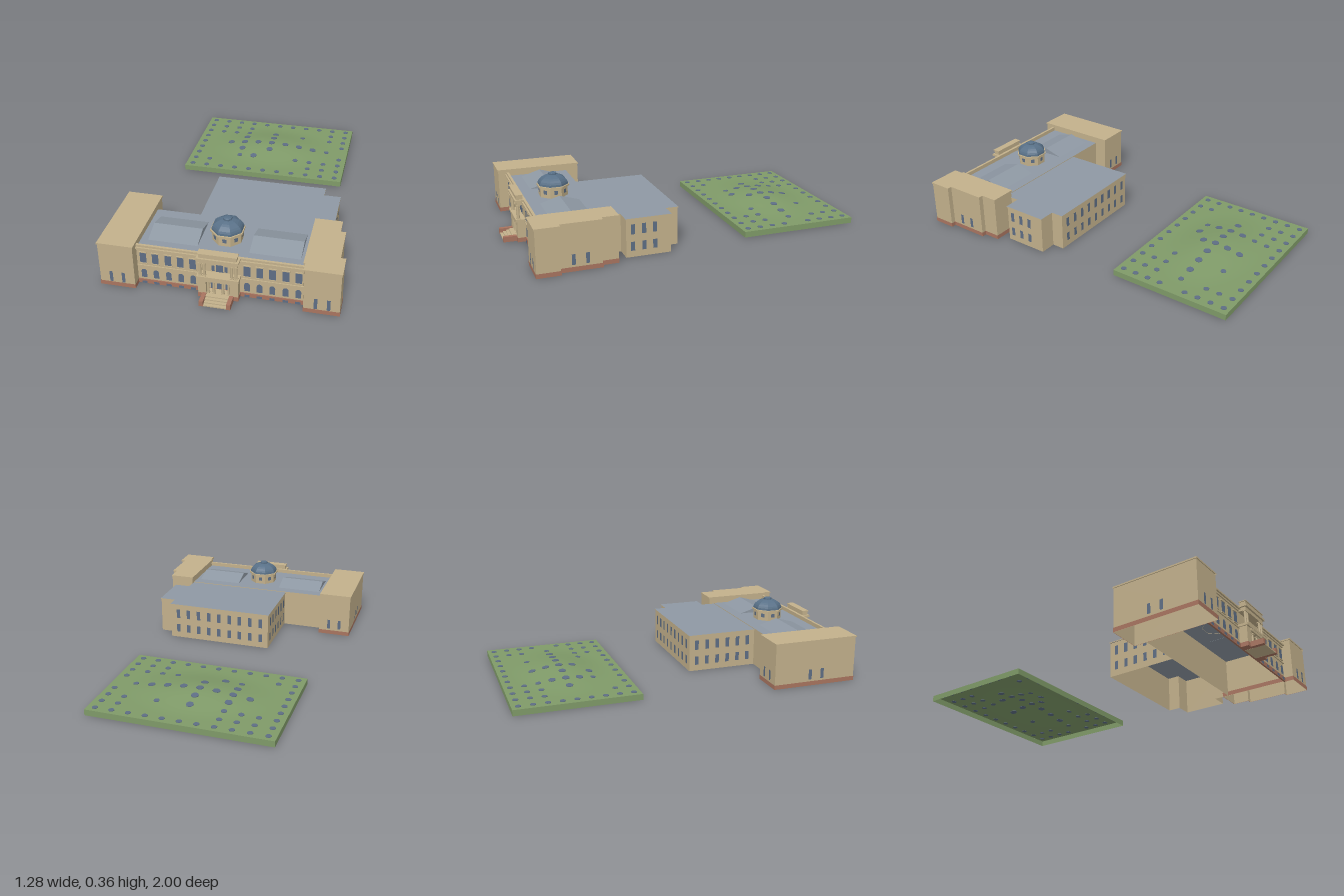
import * as THREE from 'three';

const mat = (name, color) => {
  const m = new THREE.MeshStandardMaterial({ color, side: THREE.DoubleSide });
  m.name = name;
  return m;
};

export function createModel() {
  const stone = mat('sandstone', 0xc2b08b), brick = mat('brick base', 0xa8745f);
  const roof = mat('slate roof', 0x8e98a3), glass = mat('window glass', 0x5d6d84);
  const copper = mat('dome metal', 0x587087), grass = mat('grass', 0x7f9a68);
  const model = new THREE.Group();

  const add = (name, geo, m, x = 0, y = 0, z = 0) => {
    const mesh = new THREE.Mesh(geo, m);
    mesh.name = name;
    mesh.position.set(x, y, z);
    model.add(mesh);
    return mesh;
  };
  // box given by its limits
  const box = (name, m, x0, x1, y0, y1, z0, z1) =>
    add(name, new THREE.BoxGeometry(x1 - x0, y1 - y0, z1 - z0), m, (x0 + x1) / 2, (y0 + y1) / 2, (z0 + z1) / 2);
  const flat = (geo) => {
    const g = geo.index ? geo.toNonIndexed() : geo;
    g.computeVertexNormals();
    return g;
  };

  // push a clockwise-from-above right-angled outline outward
  const grow = (pts, d) => pts.map((p, i) => {
    const a = pts[(i + pts.length - 1) % pts.length], b = pts[(i + 1) % pts.length];
    const n = (s, e) => [Math.sign(e[1] - s[1]), -Math.sign(e[0] - s[0])];
    const n1 = n(a, p), n2 = n(p, b);
    return [p[0] + d * (n1[0] + n2[0]), p[1] + d * (n1[1] + n2[1])];
  });
  // hollow walls along an outline of [x, z]
  const walls = (name, m, pts, y0, y1) => {
    const v = [];
    pts.forEach(([x, z], i) => {
      const [u, w] = pts[(i + 1) % pts.length];
      v.push(x, y0, z, x, y1, z, u, y1, w, x, y0, z, u, y1, w, u, y0, w);
    });
    const g = new THREE.BufferGeometry();
    g.setAttribute('position', new THREE.Float32BufferAttribute(v, 3));
    g.computeVertexNormals();
    add(name, g, m);
  };
  const deck = (name, m, pts, y) => {
    const s = new THREE.Shape(pts.map(([x, z]) => new THREE.Vector2(x, -z)));
    add(name, new THREE.ShapeGeometry(s).rotateX(-Math.PI / 2), m, 0, y, 0);
  };
  // thin window pane; turn is the heading of its outward side
  const pane = (x, y0, y1, z, w, turn = 0, arched = false) => {
    const r = w / 2, h = y1 - y0, s = new THREE.Shape();
    s.moveTo(-r, 0).lineTo(r, 0);
    if (arched) s.lineTo(r, h - r).absarc(0, h - r, r, 0, Math.PI, false);
    else s.lineTo(r, h).lineTo(-r, h);
    const d = 0.003;
    add('window', new THREE.ShapeGeometry(s, 6), glass, x + d * Math.sin(turn), y0, z + d * Math.cos(turn)).rotation.y = turn;
  };
  const BACK = Math.PI, PX = Math.PI / 2, NX = -Math.PI / 2;
  const rect = (x0, x1, z0, z1) => [[x0, z0], [x1, z0], [x1, z1], [x0, z1]];

  // end wings
  const wings = {
    rightWing: rect(-0.637, -0.447, 0.435, 0.932),
    leftWing: [[0.435, 0.477], [0.577, 0.477], [0.577, 0.572], [0.605, 0.572], [0.605, 0.8],
      [0.632, 0.8], [0.632, 0.927], [0.445, 0.927], [0.445, 0.87], [0.435, 0.87]],
  };
  for (const [name, pts] of Object.entries(wings)) {
    walls(name, stone, pts, 0, 0.257);
    walls(name + 'Base', brick, grow(pts, 0.002), 0, 0.025);
    walls(name + 'Cornice', stone, grow(pts, 0.004), 0.257, 0.266);
    deck(name + 'Roof', stone, grow(pts, 0.004), 0.266);
  }
  for (const x of [0.508, 0.575]) {
    pane(x, 0.028, 0.093, 0.927, 0.018);
    pane(-x, 0.028, 0.093, 0.932, 0.018);
    pane(-x, 0.037, 0.096, 0.435, 0.018, BACK);
  }
  for (const z of [0.727, 0.652]) {
    pane(0.605, 0.037, 0.096, z, 0.02, PX);
    pane(-0.637, 0.037, 0.096, z, 0.02, NX);
  }

  // main block with parapet and string courses
  const main = rect(-0.447, 0.437, 0.51, 0.875);
  walls('mainBlock', stone, main, 0, 0.224);
  deck('mainRoof', roof, main, 0.224);
  box('frontParapet', stone, -0.446, 0.444, 0.218, 0.247, 0.868, 0.882);
  box('frontCornice', stone, -0.446, 0.444, 0.227, 0.235, 0.87, 0.891);
  box('stringCourse', stone, -0.446, 0.444, 0.112, 0.118, 0.87, 0.881);
  box('mainBase', brick, -0.446, 0.444, 0, 0.025, 0.87, 0.88);
  for (const s of [-1, 1]) {
    for (const x of [0.144, 0.21, 0.277, 0.346, 0.412]) {
      pane(s * x, 0.134, 0.196, 0.875, 0.035);
      pane(s * x, 0.038, 0.092, 0.875, 0.03, 0, true);
      pane(s * x, 0.002, 0.017, 0.88, 0.028);
      box('windowSill', stone, s * x - 0.021, s * x + 0.021, 0.128, 0.133, 0.87, 0.881);
      box('windowHood', stone, s * x - 0.021, s * x + 0.021, 0.198, 0.203, 0.87, 0.881);
    }
    // raised gable roof
    const tri = new THREE.Shape([[-0.115, 0], [0.115, 0], [0, 0.034]].map((p) => new THREE.Vector2(...p)));
    const g = new THREE.ExtrudeGeometry(tri, { depth: 0.27, bevelEnabled: false }).translate(0, 0, -0.135).rotateY(PX);
    add('gableRoof', g, roof, s * 0.273, 0.223, 0.685);
  }

  // rear block
  const rear = [[-0.197, 0.095], [0.435, 0.095], [0.435, 0.168], [0.53, 0.168], [0.53, 0.422],
    [0.435, 0.422], [0.435, 0.51], [-0.197, 0.51]];
  walls('rearBlock', stone, rear, 0, 0.214);
  walls('rearCornice', stone, grow(rear, 0.004), 0.214, 0.22);
  deck('rearRoof', roof, grow(rear, 0.004), 0.22);
  for (const [y0, y1] of [[0.037, 0.088], [0.13, 0.187]]) {
    for (let i = 0; i < 9; i++) pane(-0.15 + i * 0.067, y0, y1, 0.095, 0.023, BACK);
    for (let i = 0; i < 6; i++) pane(-0.197, y0, y1, 0.14 + i * 0.065, 0.023, NX);
    for (const z of [0.26, 0.322, 0.385]) pane(0.53, y0, y1, z, 0.023, PX);
  }

  // octagonal drum, dome and lantern
  const lathe = (name, m, pts) => {
    const g = new THREE.LatheGeometry(pts.map((p) => new THREE.Vector2(...p)), 8).rotateY(Math.PI / 8);
    return add(name, flat(g), m, 0, 0, 0.69);
  };
  lathe('domeDrum', stone, [[0.084, 0.222], [0.084, 0.278], [0.094, 0.28], [0.094, 0.289], [0.08, 0.291]]);
  const curve = [];
  for (let i = 0; i <= 7; i++) {
    const a = (i / 7) * 1.4;
    curve.push([0.088 * Math.cos(a), 0.29 + 0.057 * Math.sin(a)]);
  }
  lathe('dome', copper, [...curve, [0, 0.347]]);
  lathe('lantern', copper, [[0.024, 0.343], [0.024, 0.353], [0.016, 0.357], [0, 0.358]]);
  for (let i = 0; i < 8; i++) {
    const a = (i * Math.PI) / 4, r = 0.0776;
    pane(r * Math.sin(a), 0.245, 0.268, 0.69 + r * Math.cos(a), 0.022, a);
  }

  // central portico
  box('porticoCornice', stone, -0.112, 0.112, 0.235, 0.247, 0.87, 0.93);
  box('porticoFrieze', stone, -0.103, 0.103, 0.215, 0.235, 0.87, 0.92);
  box('porticoAttic', stone, -0.1, 0.1, 0.247, 0.27, 0.885, 0.92);
  box('atticCap', stone, -0.104, 0.104, 0.27, 0.275, 0.882, 0.925);
  box('balcony', stone, -0.112, 0.112, 0.12, 0.134, 0.87, 0.93);
  box('entranceLintel', stone, -0.066, 0.066, 0.104, 0.12, 0.87, 0.928);
  const column = (x, y0, y1, r) => {
    add('column', new THREE.CylinderGeometry(r * 0.85, r, y1 - y0, 10), stone, x, (y0 + y1) / 2, 0.912);
    box('columnCapital', stone, x - r * 1.2, x + r * 1.2, y1 - 0.006, y1, 0.912 - r * 1.2, 0.912 + r * 1.2);
    box('columnFoot', stone, x - r * 1.2, x + r * 1.2, y0, y0 + 0.005, 0.912 - r * 1.2, 0.912 + r * 1.2);
  };
  for (const s of [-1, 1]) {
    box('porticoPier', stone, s * 0.085 - 0.021, s * 0.085 + 0.021, 0.025, 0.12, 0.87, 0.922);
    box('porticoPierBase', brick, s * 0.085 - 0.023, s * 0.085 + 0.023, 0, 0.025, 0.87, 0.925);
    column(s * 0.095, 0.134, 0.215, 0.008);
    column(s * 0.072, 0.134, 0.215, 0.008);
    column(s * 0.054, 0.025, 0.104, 0.007);
    column(s * 0.024, 0.025, 0.104, 0.007);
    pane(s * 0.034, 0.14, 0.175, 0.875, 0.016);
    pane(s * 0.04, 0.026, 0.1, 0.875, 0.02);
    box('stepCheek', brick, s * 0.072 - 0.011, s * 0.072 + 0.011, 0, 0.031, 0.925, 1);
  }
  pane(0, 0.137, 0.206, 0.875, 0.038, 0, true);
  pane(0, 0.026, 0.1, 0.875, 0.034);
  for (let i = 0; i < 4; i++) box('step', stone, -0.061, 0.061, i * 0.0065, (i + 1) * 0.0065, 0.88, 0.998 - i * 0.017);

  // lawn with a gentle mound
  const cx = -0.0275, cz = -0.65, W = 1.025, D = 0.7;
  const height = (x, z) => {
    const r = Math.min(1, Math.hypot((x - cx) / 0.44, (z - cz) / 0.28));
    return 0.034 + 0.018 * (1 + Math.cos(Math.PI * r));
  };
  const lawn = new THREE.PlaneGeometry(W, D, 40, 28).rotateX(-Math.PI / 2).translate(cx, 0, cz);
  const p = lawn.attributes.position;
  for (let i = 0; i < p.count; i++) p.setY(i, height(p.getX(i), p.getZ(i)));
  lawn.computeVertexNormals();
  add('lawn', lawn, grass);
  walls('lawnEdge', grass, rect(cx - W / 2, cx + W / 2, cz - D / 2, cz + D / 2), 0, 0.034);

  // round skylights set in the lawn, one mark per grid cell
  ['ooooooooooo', 'oooo.....oo', 'oooo.o.o.oo', 'o..o.o....o', 'o.oooooooo.', 'o..o.o....o', 'o..oo..oooo', 'oo......ooo', 'ooooooooooo']
    .forEach((row, j) => [...row].forEach((c, i) => {
      if (c !== 'o') return;
      const x = -0.497 + i * 0.0937, z = -0.963 + j * 0.078, e = 0.01;
      const h = height(x, z), r = h > 0.042 ? 0.021 : 0.016;
      const disc = add('skylight', new THREE.CylinderGeometry(r, r, 0.005, 10), glass, x, h + 0.0005, z);
      const n = new THREE.Vector3(height(x - e, z) - height(x + e, z), 2 * e, height(x, z - e) - height(x, z + e)).normalize();
      disc.quaternion.setFromUnitVectors(new THREE.Vector3(0, 1, 0), n);
    }));

  return model;
}
